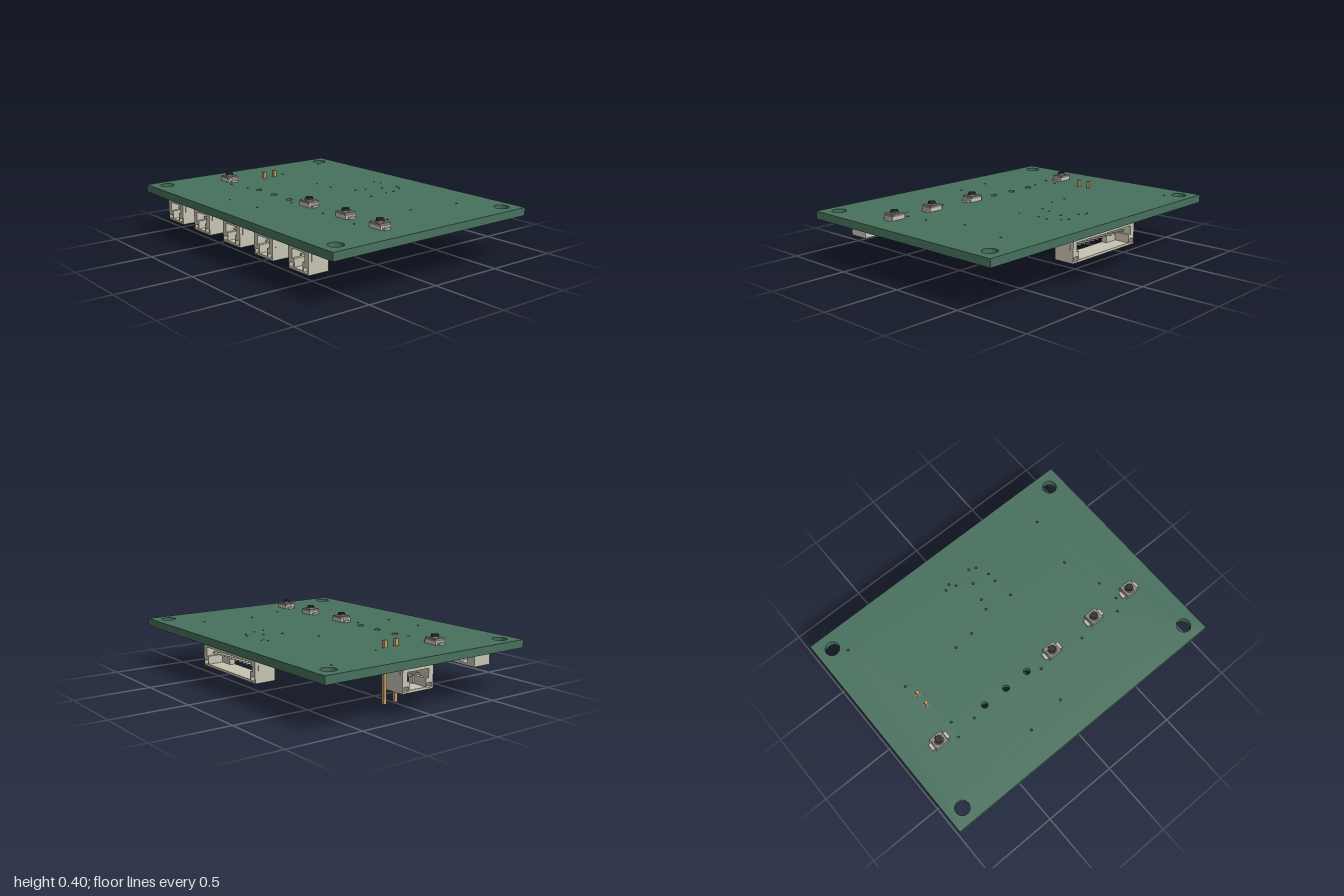
import * as THREE from 'three';

const mat = (name, color) => {
  const m = new THREE.MeshStandardMaterial({ color });
  m.name = name;
  return m;
};

export function createModel() {
  const green = mat('board green', 0x47705d);
  const cream = mat('connector cream', 0xc8c5b3);
  const metal = mat('solder metal', 0xbfbcae);
  const gold = mat('pin gold', 0xc09f68);
  const black = mat('black plastic', 0x2b2b2b);
  const grey = mat('switch grey', 0x85827f);

  const model = new THREE.Group();
  model.name = 'circuitBoard';
  const BOTTOM = 0.29, TOP = 0.34;

  const add = (parent, name, geo, material, x = 0, y = 0, z = 0) => {
    const mesh = new THREE.Mesh(geo, material);
    mesh.name = name;
    mesh.position.set(x, y, z);
    parent.add(mesh);
    return mesh;
  };
  const box = (parent, name, material, w, h, d, x, y, z) =>
    add(parent, name, new THREE.BoxGeometry(w, h, d), material, x, y, z);
  const group = (name, x, y, z, turn = 0) => {
    const g = new THREE.Group();
    g.name = name;
    g.position.set(x, y, z);
    g.rotation.y = turn;
    model.add(g);
    return g;
  };
  const points = (Type, list) => new Type(list.map(([x, y]) => new THREE.Vector2(x, y)));
  const rect = (Type, x0, y0, x1, y1) => points(Type, [[x0, y0], [x1, y0], [x1, y1], [x0, y1]]);
  const extrude = (shape, depth, curveSegments = 12) =>
    new THREE.ExtrudeGeometry(shape, { depth, bevelEnabled: false, curveSegments });

  // Board with mounting holes, light holes and vias
  const board = rect(THREE.Shape, -1, -0.75, 1, 0.75);
  const drill = (x, z, r) => {
    const hole = new THREE.Path();
    hole.absarc(x, -z, r, 0, Math.PI * 2, true);
    board.holes.push(hole);
  };
  for (const x of [-0.9, 0.9]) for (const z of [-0.65, 0.65]) drill(x, z, 0.046);
  for (const x of [-0.398, -0.229, -0.06]) drill(x, 0.247, 0.021);
  const vias = [
    [-0.83, -0.58], [-0.105, -0.505], [-0.065, -0.525], [-0.035, -0.49], [0.1, -0.525], [0.145, -0.505],
    [0.06, -0.43], [0.18, -0.42], [0.18, -0.355], [0.03, -0.31], [0.01, -0.24], [0.195, -0.215],
    [0.665, -0.505], [0.61, -0.165], [-0.7, -0.16], [-0.3, -0.16], [-0.165, -0.17], [-0.625, 0.2],
    [-0.65, 0.3], [-0.5, 0.27], [0.02, 0.29], [0.35, 0.3], [0.645, 0.31], [0.685, 0.09],
    [0.7, 0.235], [-0.28, 0.55], [-0.02, 0.52],
  ];
  vias.forEach(([x, z]) => drill(x, z, 0.007));
  const boardGeo = extrude(board, TOP - BOTTOM);
  boardGeo.rotateX(-Math.PI / 2);
  add(model, 'board', boardGeo, green, 0, BOTTOM, 0);

  // Push buttons on the upper face
  for (const x of [-0.755, 0.145, 0.495, 0.795]) {
    const g = group('pushButton', x, TOP, 0.247);
    box(g, 'switchBody', cream, 0.094, 0.022, 0.078, 0, 0.011, 0);
    box(g, 'switchCover', grey, 0.086, 0.014, 0.08, 0, 0.029, 0);
    add(g, 'switchCollar', new THREE.CylinderGeometry(0.028, 0.03, 0.006, 24), grey, 0, 0.039, 0);
    add(g, 'switchCap', new THREE.CylinderGeometry(0.023, 0.024, 0.018, 24), black, 0, 0.046, 0);
    for (const s of [-1, 1]) box(g, 'switchTab', metal, 0.022, 0.012, 0.046, s * 0.056, 0.006, 0);
  }

  // Side-entry socket, opening towards local +z and hanging below the board
  const socket = (name, x, z, turn, w, pins, windowHalf) => {
    const g = group(name, x, BOTTOM, z, turn);
    const h = w / 2, wide = h - 0.035, narrow = h - 0.055;
    const shell = rect(THREE.Shape, -h, -0.145, h, 0);
    shell.holes.push(points(THREE.Path, [
      [-wide, -0.025], [wide, -0.025], [wide, -0.08], [narrow, -0.08],
      [narrow, -0.13], [-narrow, -0.13], [-narrow, -0.08], [-wide, -0.08],
    ]));
    for (const s of [-1, 1])
      shell.holes.push(rect(THREE.Path, s * (h - 0.045), -0.135, s * (h - 0.01), -0.108));
    add(g, 'socketShell', extrude(shell, 0.1), cream, 0, 0, -0.0325);
    const rear = rect(THREE.Shape, -h, -0.145, h, 0);
    rear.holes.push(rect(THREE.Path, -windowHalf, -0.13, windowHalf, -0.085));
    add(g, 'socketRear', extrude(rear, 0.035), cream, 0, 0, -0.0675);
    // Contacts inside the socket and solder tails behind it
    for (let i = 0; i < pins; i++) {
      const px = (i - (pins - 1) / 2) * 0.0418;
      box(g, 'contact', metal, 0.01, 0.012, 0.07, px, -0.058, 0);
      box(g, 'contactBlade', metal, 0.01, 0.035, 0.012, px, -0.042, -0.026);
      box(g, 'solderTail', metal, 0.01, 0.012, 0.035, px, -0.006, -0.083);
      box(g, 'tailRiser', metal, 0.01, 0.024, 0.01, px, -0.012, -0.071);
    }
    // Anchor tabs on both ends
    for (const s of [-1, 1]) {
      box(g, 'anchorPlate', cream, 0.004, 0.07, 0.085, s * (h + 0.001), -0.036, 0.005);
      box(g, 'anchorFoot', metal, 0.012, 0.008, 0.06, s * (h + 0.002), -0.004, 0.005);
    }
  };
  for (const x of [-0.668, -0.342, -0.002, 0.332, 0.665])
    socket('frontSocket', x, 0.653, 0, 0.184, 2, 0.03);
  socket('sideSocket', -0.905, -0.082, -Math.PI / 2, 0.23, 3, 0.05);
  socket('rearSocket', 0, -0.653, Math.PI, 0.59, 12, 0.15);

  // Two-pin header: chamfered housings with long square pins
  for (const z of [-0.069, 0.016]) {
    const g = group('pinHeader', -0.67, 0, z);
    const a = 0.0425, b = 0.025;
    const housing = extrude(points(THREE.Shape, [
      [-a, -b], [-b, -a], [b, -a], [a, -b], [a, b], [b, a], [-b, a], [-a, b],
    ]), 0.09);
    housing.rotateX(-Math.PI / 2);
    add(g, 'headerHousing', housing, black, 0, 0.2, 0);
    box(g, 'headerPin', gold, 0.021, 0.385, 0.021, 0, 0.1925, 0);
    add(g, 'pinRing', new THREE.CylinderGeometry(0.017, 0.017, 0.004, 20), gold, 0, TOP, 0);
  }

  // Small chip parts on the underside
  const chips = [
    [0.61, -0.21], [0.465, -0.21], [0.265, -0.2], [0.11, -0.21], [-0.1, -0.2], [0.22, -0.075],
    [0.1, -0.075], [-0.15, -0.07], [-0.26, -0.07], [0.1, -0.31], [-0.22, -0.25], [-0.28, -0.3], [-0.54, 0.1],
  ];
  for (const [x, z] of chips) {
    const g = group('chipPart', x, BOTTOM, z);
    box(g, 'chipBody', black, 0.026, 0.018, 0.026, 0, -0.01, 0);
    for (const s of [-1, 1]) box(g, 'chipEnd', metal, 0.012, 0.02, 0.027, s * 0.018, -0.01, 0);
  }

  // Three-legged transistors
  for (const x of [0.215, -0.13]) {
    const g = group('transistor', x, BOTTOM, -0.315);
    box(g, 'transistorBody', black, 0.045, 0.032, 0.096, 0, -0.024, 0);
    for (const [s, z] of [[1, 0], [-1, -0.032], [-1, 0.032]]) {
      box(g, 'transistorLeg', metal, 0.014, 0.02, 0.014, s * 0.026, -0.016, z);
      box(g, 'transistorFoot', metal, 0.018, 0.006, 0.014, s * 0.038, -0.003, z);
    }
  }

  return model;
}
